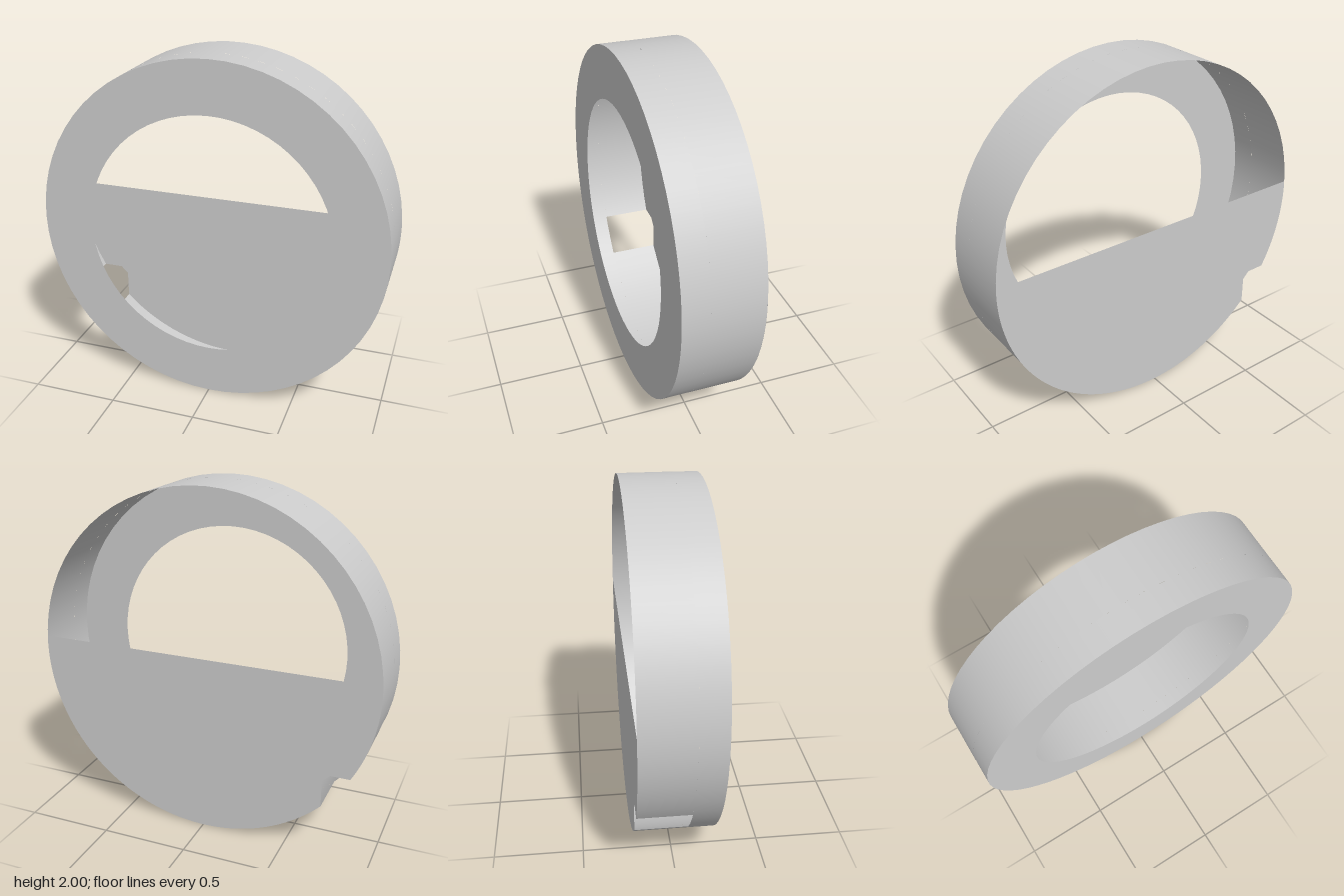
import * as THREE from 'three';

const R = 1;             // rim radius
const HOLE = 0.705;      // radius of the front opening
const FRONT = 0.22, BACK = -0.22;
const SLOT_FRONT = 0.07; // how far forward the rim slot reaches
const CHORD = 0.055;     // straight edge of the back plate, above centre
const SLOT_X = -0.707, SLOT_Y = -0.507, CHAMFER = 0.042;

export function createModel() {
  const group = new THREE.Group();
  group.name = 'halfBackedRing';
  const grey = new THREE.MeshStandardMaterial({ color: 0xcccccc, side: THREE.DoubleSide });
  grey.name = 'plain grey';

  const add = (name, geometry, z = 0) => {
    const mesh = new THREE.Mesh(geometry, grey);
    mesh.name = name;
    mesh.position.set(0, R, z);
    group.add(mesh);
  };

  // Open band around the z axis; angles run counterclockwise from +x
  const band = (z0, z1, start, length) =>
    new THREE.CylinderGeometry(R, R, z1 - z0, 64, 1, true, start + Math.PI / 2, length)
      .rotateX(Math.PI / 2)
      .translate(0, 0, (z0 + z1) / 2);

  const slotTop = Math.PI + Math.asin(-SLOT_Y);
  const slotBottom = Math.PI + Math.acos(-SLOT_X);

  // Front flange with its round opening
  add('frontFlange', new THREE.RingGeometry(HOLE, R, 64, 1), FRONT);

  // Thin rim: a full front band and a back band interrupted by the slot
  add('frontRim', band(SLOT_FRONT, FRONT, 0, Math.PI * 2));
  add('slottedRim', band(BACK, SLOT_FRONT, slotBottom, Math.PI * 2 - (slotBottom - slotTop)));

  // Lower back plate with the chamfered notch at the slot
  const edge = Math.asin(CHORD);
  const plate = new THREE.Shape();
  plate.absarc(0, 0, R, edge, slotBottom - Math.PI * 2, true);
  plate.lineTo(SLOT_X, SLOT_Y - CHAMFER);
  plate.lineTo(SLOT_X - CHAMFER, SLOT_Y);
  plate.absarc(0, 0, R, slotTop, Math.PI - edge, true);
  plate.closePath();
  add('backPlate', new THREE.ShapeGeometry(plate, 48), BACK);

  return group;
}
